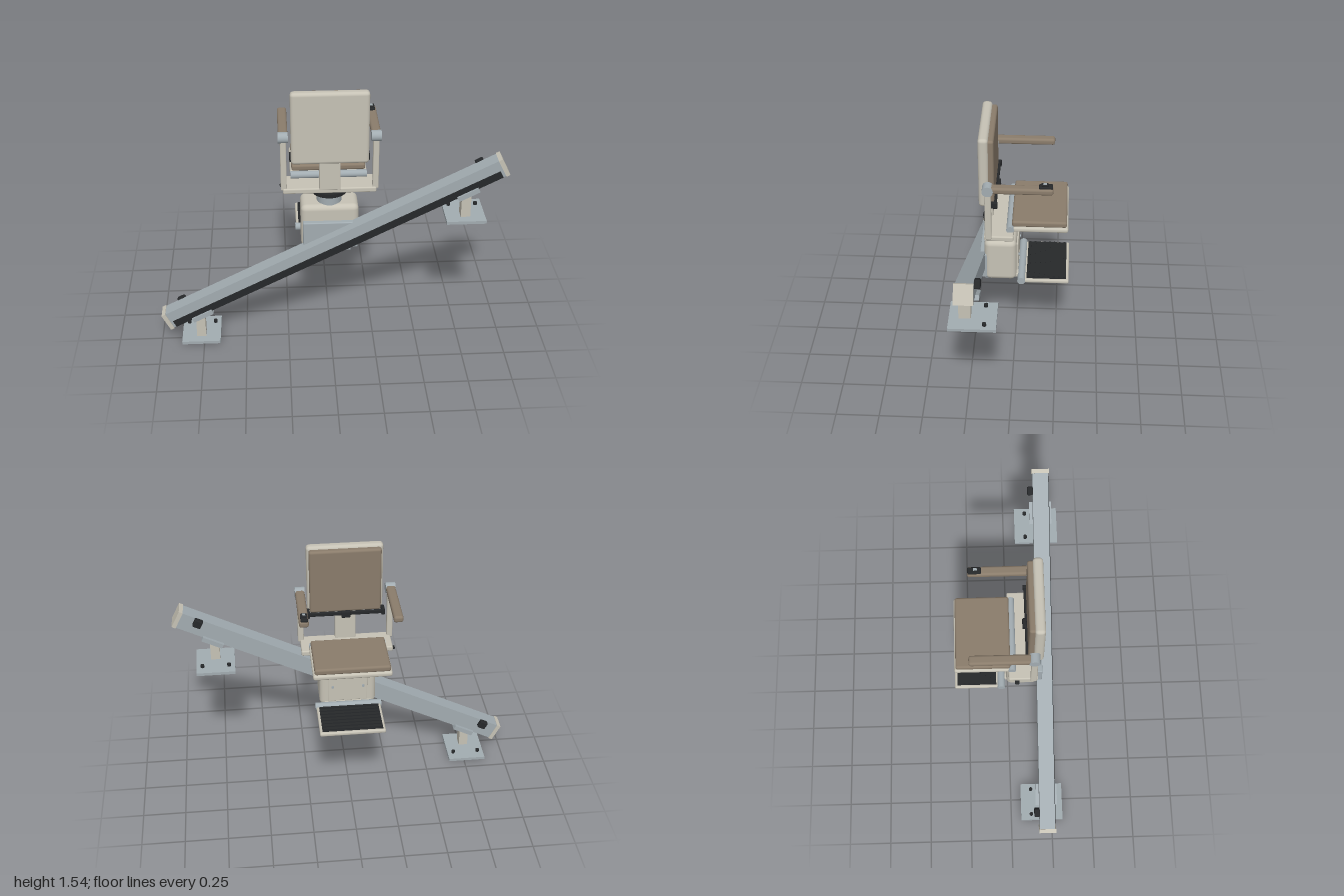
import * as THREE from 'three';
import { RoundedBoxGeometry } from 'three/addons/geometries/RoundedBoxGeometry.js';

const mat = (name, color) => {
  const m = new THREE.MeshStandardMaterial({ color });
  m.name = name;
  return m;
};

export function createModel() {
  const cream = mat('cream plastic', 0xc6c2b5);
  const steel = mat('grey metal', 0xa2acb1);
  const brown = mat('brown upholstery', 0x8a7c6b);
  const black = mat('black rubber', 0x26282a);
  const model = new THREE.Group();
  model.name = 'stairLift';

  const add = (name, geo, material, x, y, z, parent = model) => {
    const mesh = new THREE.Mesh(geo, material);
    mesh.name = name;
    mesh.position.set(x, y, z);
    parent.add(mesh);
    return mesh;
  };
  // Boxes are given by their limits on each axis; r rounds the edges
  const box = (name, m, [x0, x1], [y0, y1], [z0, z1], r = 0, parent = model) => {
    const s = [x1 - x0, y1 - y0, z1 - z0];
    const geo = r ? new RoundedBoxGeometry(...s, 3, r) : new THREE.BoxGeometry(...s);
    return add(name, geo, m, (x0 + x1) / 2, (y0 + y1) / 2, (z0 + z1) / 2, parent);
  };
  const cyl = (name, m, r, h, x, y, z, axis = 'y', parent = model) => {
    const geo = new THREE.CylinderGeometry(r, r, h, 28);
    if (axis === 'x') geo.rotateZ(Math.PI / 2);
    if (axis === 'z') geo.rotateX(Math.PI / 2);
    return add(name, geo, m, x, y, z, parent);
  };

  // Sloping rail, built flat and then tilted
  const slope = Math.atan2(0.98, 1.945);
  const rail = new THREE.Group();
  rail.name = 'rail';
  rail.position.set(0.003, 0.612, 0);
  rail.rotation.z = slope;
  model.add(rail);
  box('railBeam', steel, [-1.07, 1.07], [-0.052, 0.052], [0.17, 0.262], 0, rail);
  box('gearRack', black, [-1.05, 1.05], [-0.052, -0.01], [0.262, 0.268], 0, rail);
  for (const s of [-1, 1]) {
    const a = s * 1.066, b = s * 1.09;
    box('railEndCap', cream, [Math.min(a, b), Math.max(a, b)], [-0.055, 0.055], [0.166, 0.268], 0, rail);
    const u = s * 0.965;
    box('endStop', black, [u - 0.025, u + 0.025], [0.008, 0.058], [0.138, 0.172], 0.008, rail);
    const c = s * 0.855 - 0.02;
    box('railBracket', steel, [c - 0.065, c + 0.065], [-0.07, -0.042], [0.15, 0.28], 0, rail);
  }

  // Floor plates, posts and bolts
  for (const [x, y] of [[-0.768, 0], [0.765, 0.772]]) {
    box('footPlate', steel, [x - 0.113, x + 0.113], [y, y + 0.018], [0.062, 0.318]);
    box('footPost', cream, [x - 0.027, x + 0.027], [y + 0.018, y + 0.165], [0.2, 0.265]);
    for (const dx of [-0.078, 0.078]) cyl('footBolt', black, 0.011, 0.016, x + dx, y + 0.026, 0.125);
  }

  // Carriage and drive housing
  box('carriagePlate', steel, [-0.155, 0.16], [0.57, 0.735], [0.14, 0.2], 0.006);
  box('carriageRoller', steel, [-0.03, 0.12], [0.535, 0.565], [0.13, 0.17]);
  box('driveHousing', cream, [-0.166, 0.166], [0.555, 0.83], [-0.012, 0.172], 0.032);
  box('servicePanel', cream, [-0.115, 0.115], [0.595, 0.785], [-0.022, -0.01], 0.005);
  for (const x of [-0.09, 0.09]) cyl('panelScrew', steel, 0.008, 0.008, x, 0.695, -0.024, 'z');

  // Swivel
  cyl('swivelColumn', steel, 0.072, 0.07, 0, 0.86, 0.085);
  cyl('swivelRing', black, 0.102, 0.022, 0, 0.9, 0.085);
  box('chairBase', cream, [-0.265, 0.265], [0.91, 0.942], [0, 0.165], 0.008);
  box('swivelLever', black, [-0.282, -0.2], [0.9, 0.912], [0.035, 0.06], 0.004);

  // Seat
  cyl('seatHinge', steel, 0.022, 0.44, 0, 0.958, 0.02, 'x');
  box('seatBoard', cream, [-0.222, 0.222], [0.945, 0.977], [-0.306, 0.005], 0.013);
  box('seatCushion', brown, [-0.213, 0.213], [0.974, 1.012], [-0.298, 0.01], 0.013);

  // Backrest
  box('backPost', cream, [-0.06, 0.06], [0.935, 1.14], [0.125, 0.175], 0.006);
  box('backShell', cream, [-0.218, 0.218], [1.108, 1.54], [0.138, 0.194], 0.02);
  box('backCushion', brown, [-0.205, 0.205], [1.13, 1.525], [0.108, 0.15], 0.014);

  // Lap belt
  box('lapBelt', black, [-0.215, 0.215], [1.112, 1.136], [0.095, 0.11], 0.005);
  box('beltBuckle', black, [-0.026, 0.026], [1.102, 1.144], [0.082, 0.104], 0.006);
  for (const s of [-1, 1]) {
    box('beltAnchor', black, [s * 0.216 - 0.01, s * 0.216 + 0.01], [1.104, 1.144], [0.09, 0.145], 0.005);
  }

  // Armrests
  for (const s of [-1, 1]) {
    const x = s * 0.26;
    box('armPost', cream, [x - 0.017, x + 0.017], [0.93, 1.25], [0.122, 0.158], 0.006);
    cyl('armHub', steel, 0.031, 0.056, x, 1.256, 0.14, 'x');
    box('armrest', brown, [x - 0.027, x + 0.027], [1.24, 1.279], [-0.218, 0.128], 0.014);
  }
  box('controlPad', black, [0.238, 0.278], [1.274, 1.29], [-0.215, -0.14], 0.006);
  box('controlSwitch', black, [0.246, 0.27], [1.288, 1.3], [-0.192, -0.152], 0.004);
  box('controlPlate', steel, [0.25, 0.266], [1.298, 1.302], [-0.182, -0.162]);

  // Folding footrest with ribbed tread
  cyl('footrestHinge', steel, 0.023, 0.39, 0, 0.576, -0.042, 'x');
  box('footrestArm', cream, [-0.14, 0.14], [0.562, 0.588], [-0.045, 0.02], 0.006);
  box('footrest', cream, [-0.19, 0.19], [0.56, 0.584], [-0.318, -0.045], 0.009);
  box('footrestTread', black, [-0.175, 0.175], [0.582, 0.59], [-0.302, -0.072]);
  for (let i = 0; i < 8; i++) {
    const z = -0.29 + i * 0.0295;
    box('treadRib', black, [-0.17, 0.17], [0.588, 0.597], [z - 0.006, z + 0.006]);
  }
  return model;
}
